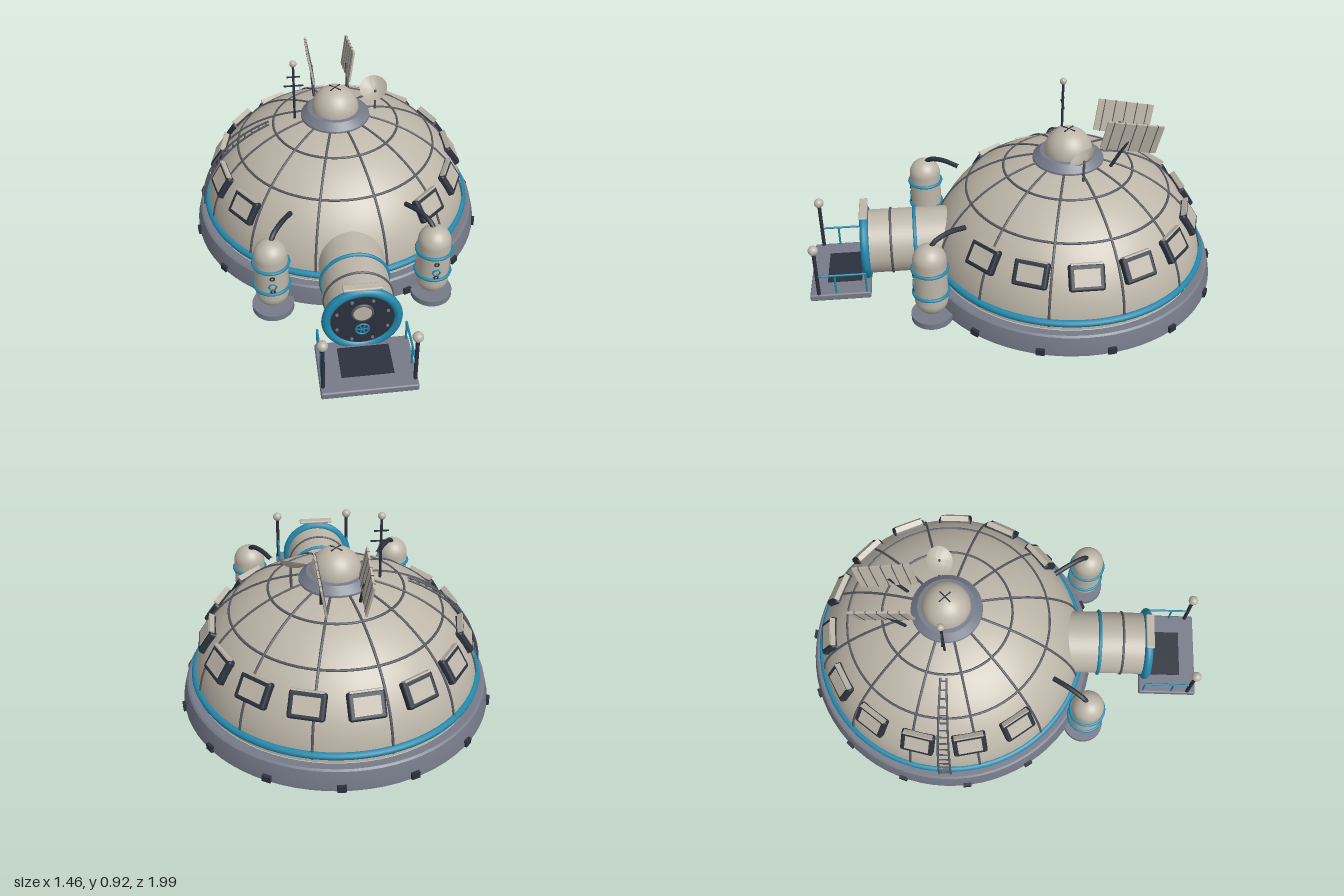
import * as THREE from 'three';
import { toCreasedNormals } from 'three/addons/utils/BufferGeometryUtils.js';
import { RoundedBoxGeometry } from 'three/addons/geometries/RoundedBoxGeometry.js';

const mat = (name, color, side = THREE.FrontSide) =>
  Object.assign(new THREE.MeshStandardMaterial({ color, side }), { name });
const cream = mat('cream shell', 0xbdb6a9, THREE.DoubleSide);
const grey = mat('slate grey', 0x767b89, THREE.DoubleSide);
const dark = mat('dark navy', 0x2b313d);
const rib = mat('rib grey', 0x55575f);
const teal = mat('teal trim', 0x2289ac);

const V = (x, y, z) => new THREE.Vector3(x, y, z);

function add(parent, name, geo, material, x = 0, y = 0, z = 0) {
  const m = new THREE.Mesh(geo, material);
  m.name = name;
  m.position.set(x, y, z);
  parent.add(m);
  return m;
}
function group(parent, name, x = 0, y = 0, z = 0) {
  const g = new THREE.Group();
  g.name = name;
  g.position.set(x, y, z);
  parent.add(g);
  return g;
}
const box = (w, h, d) => new THREE.BoxGeometry(w, h, d);
const cyl = (r, h, n = 32) => new THREE.CylinderGeometry(r, r, h, n);
const ball = (r) => new THREE.SphereGeometry(r, 20, 14);
const torus = (R, r, n = 64) => new THREE.TorusGeometry(R, r, 10, n);
const flatTorus = (R, r, n) => torus(R, r, n).rotateX(Math.PI / 2);
const lathe = (pts, n = 64) => toCreasedNormals(
  new THREE.LatheGeometry(pts.map(([x, y]) => new THREE.Vector2(x, y)), n).toNonIndexed(), 0.5);
const tube = (pts, r, n = 20) =>
  new THREE.TubeGeometry(new THREE.CatmullRomCurve3(pts), n, r, 8);
function rod(parent, name, a, b, r, material) {
  const m = add(parent, name, cyl(r, a.distanceTo(b), 10), material);
  m.position.addVectors(a, b).multiplyScalar(0.5);
  m.quaternion.setFromUnitVectors(V(0, 1, 0), b.clone().sub(a).normalize());
  return m;
}

// Dome ellipsoid: radius A, height B, springing from BASE
const A = 0.66, B = 0.52, BASE = 0.1;
const radiusAt = (y) => A * Math.sqrt(1 - ((y - BASE) / B) ** 2);
const onDome = (theta, phi, off = 0) => V(
  (A + off) * Math.cos(phi) * Math.cos(theta),
  BASE + (B + off) * Math.sin(phi),
  (A + off) * Math.cos(phi) * Math.sin(theta));
const arc = (theta, p0, p1, off, n = 14) =>
  Array.from({ length: n + 1 }, (_, i) => onDome(theta, p0 + (p1 - p0) * i / n, off));

function buildDome(root) {
  const g = group(root, 'dome', 0, 0, -0.26);
  const profile = Array.from({ length: 25 }, (_, i) => {
    const p = (i / 24) * Math.PI / 2;
    return [A * Math.cos(p), BASE + B * Math.sin(p)];
  });
  add(g, 'domeShell', lathe(profile, 72), cream);
  add(g, 'foundationRing', lathe([[0.66, 0.097], [0.66, 0], [0.722, 0], [0.722, 0.015],
    [0.704, 0.09], [0.695, 0.097], [0.66, 0.097]], 72), grey);
  add(g, 'trimRing', flatTorus(0.661, 0.017, 80), teal, 0, 0.138);

  // Seams
  for (let i = 0; i < 12; i++)
    add(g, 'meridianRib', tube(arc((i + 0.5) * Math.PI / 6, 0.03, 1.35, 0.001), 0.006), rib);
  for (const y of [0.45, 0.56]) add(g, 'latitudeRib', flatTorus(radiusAt(y), 0.006, 72), rib, 0, y);

  // Ground clamps
  for (let i = 0; i < 14; i++) {
    const t = 0.3 + i * Math.PI / 7;
    const c = add(g, 'groundClamp', box(0.03, 0.03, 0.04), dark,
      0.718 * Math.cos(t), 0.017, 0.718 * Math.sin(t));
    c.rotation.y = -t;
  }

  // Windows, leaving a gap for the airlock
  const y = 0.337, r = radiusAt(y);
  const tilt = Math.atan2((y - BASE) / B ** 2, r / A ** 2);
  for (let i = 0; i < 15; i++) {
    if (i >= 3 && i <= 5) continue;
    const t = i * Math.PI * 2 / 15;
    const w = group(g, 'window', r * Math.cos(t), y, r * Math.sin(t));
    w.rotation.set(-tilt, Math.PI / 2 - t, 0, 'YXZ');
    add(w, 'windowFrame', new RoundedBoxGeometry(0.162, 0.12, 0.044, 2, 0.012), dark);
    add(w, 'windowPane', box(0.116, 0.078, 0.008), cream, 0, 0, 0.021);
    add(w, 'windowHood', box(0.14, 0.008, 0.026), cream, 0, 0.062, 0.018);
  }

  // Ladder up the right side
  const lad = group(g, 'ladder');
  for (const s of [-1, 1])
    add(lad, 'ladderRail', tube(arc(Math.PI + s * 0.042, 0.04, 1.07, 0.024), 0.005), rib);
  for (let i = 0; i < 16; i++) {
    const p = 0.07 + i * 0.065;
    rod(lad, 'ladderRung', onDome(Math.PI - 0.042, p, 0.024),
      onDome(Math.PI + 0.042, p, 0.024), 0.004, rib);
  }

  // Crown
  add(g, 'crownCollar', lathe([[0.172, 0.585], [0.168, 0.612], [0.135, 0.643], [0.1, 0.645]], 48), grey);
  add(g, 'crownCap', new THREE.SphereGeometry(0.115, 40, 16, 0, Math.PI * 2, 0, Math.PI / 2), cream, 0, 0.643);
  for (const s of [-1, 1])
    add(g, 'crownCross', box(0.07, 0.004, 0.005), dark, 0, 0.757).rotation.y = s * Math.PI / 4;
}

function buildRoofGear(root) {
  // Antenna mast
  const m = group(root, 'antennaMast', -0.2, 0, -0.26);
  add(m, 'mastPole', cyl(0.006, 0.32, 10), dark, 0, 0.74);
  add(m, 'mastTip', ball(0.017), cream, 0, 0.905);
  add(m, 'mastBar', box(0.065, 0.006, 0.006), dark, 0, 0.832);
  add(m, 'mastBar', box(0.095, 0.006, 0.006), dark, 0, 0.782);

  // Dish
  const d = group(root, 'dish');
  rod(d, 'dishPole', V(0.205, 0.57, -0.3), V(0.205, 0.7, -0.3), 0.006, rib);
  const bowl = add(d, 'dishBowl', lathe([[0, -0.02], [0.025, -0.016], [0.05, -0.006], [0.068, 0.006]], 32),
    cream, 0.196, 0.712, -0.3);
  bowl.quaternion.setFromUnitVectors(V(0, 1, 0), V(-0.2, 0.83, 0.5).normalize());

  // Pair of solar panels
  for (const s of [-1, 1]) {
    const p = group(root, 'solarPanel', s * 0.098, 0.748, -0.54);
    p.rotation.set(-0.17, 0, -s * 0.17, 'ZXY');
    add(p, 'panelSheet', box(0.009, 0.155, 0.27), cream);
    for (let i = -2; i <= 2; i++) add(p, 'panelDivider', box(0.013, 0.157, 0.004), rib, 0, 0, i * 0.052);
    rod(root, 'panelStrut', V(s * 0.085, 0.575, -0.44), V(s * 0.092, 0.73, -0.525), 0.008, dark);
  }
}

function buildAirlock(root) {
  const g = group(root, 'airlock', 0, 0.185, 0);
  add(g, 'tunnel', cyl(0.155, 0.42, 48).rotateX(Math.PI / 2), cream, 0, 0, 0.51);
  add(g, 'tunnelTrim', torus(0.157, 0.009), teal, 0, 0, 0.485);
  add(g, 'tunnelSeam', torus(0.156, 0.006), rib, 0, 0, 0.6);
  add(g, 'doorRing', torus(0.16, 0.021), teal, 0, 0, 0.725);
  add(g, 'door', cyl(0.15, 0.02, 48).rotateX(Math.PI / 2), dark, 0, 0, 0.724);
  add(g, 'doorHood', new RoundedBoxGeometry(0.175, 0.014, 0.04, 2, 0.006), cream, 0, 0.19, 0.725);
  add(g, 'portholeRim', torus(0.044, 0.007, 32), rib, 0, 0.045, 0.735);
  add(g, 'portholeGlass', cyl(0.043, 0.008).rotateX(Math.PI / 2), cream, 0, 0.045, 0.737);
  for (let i = 0; i < 8; i++) {
    const t = (i + 0.5) * Math.PI / 4;
    add(g, 'doorBolt', cyl(0.007, 0.01, 8).rotateX(Math.PI / 2), grey,
      0.122 * Math.cos(t), 0.122 * Math.sin(t), 0.736);
  }
  const wheel = group(g, 'handwheel', 0, -0.05, 0.742);
  add(wheel, 'wheelRim', torus(0.03, 0.004, 24), teal);
  for (let i = 0; i < 3; i++)
    add(wheel, 'wheelSpoke', box(0.06, 0.005, 0.005), teal).rotation.z = i * Math.PI / 3;

  // Entry platform
  const p = group(root, 'entryPlatform');
  add(p, 'platformDeck', new RoundedBoxGeometry(0.425, 0.035, 0.29, 2, 0.008), grey, 0, 0.0175, 0.855);
  add(p, 'platformMat', box(0.232, 0.006, 0.165), dark, 0, 0.036, 0.838);
  for (const s of [-1, 1]) {
    const x = s * 0.2;
    add(p, 'lampPost', cyl(0.009, 0.25, 12), dark, x, 0.155, 0.958);
    add(p, 'lampGlobe', ball(0.024), cream, x, 0.292, 0.958);
    rod(p, 'handrail', V(x, 0.138, 0.725), V(x, 0.138, 0.958), 0.005, teal);
    for (const z of [0.73, 0.875]) add(p, 'railPost', cyl(0.005, 0.11, 8), teal, x, 0.085, z);
  }
}

function buildTank(root, s) {
  const g = group(root, 'storageTank', s * 0.377, 0, 0.422);
  add(g, 'tankFoot', cyl(0.098, 0.03, 40), grey, 0, 0.015);
  add(g, 'tankBody', new THREE.CapsuleGeometry(0.078, 0.216, 12, 36), cream, 0, 0.222);
  for (const y of [0.155, 0.285]) add(g, 'tankBand', flatTorus(0.081, 0.008, 40), teal, 0, y);
  add(g, 'tankGauge', torus(0.018, 0.004, 6), teal, 0, 0.2, 0.079);
  for (const y of [0.17, 0.25]) add(g, 'tankPort', torus(0.009, 0.004, 16), dark, 0, y, 0.078);
  add(g, 'tankPipe', tube([V(0, 0.385, 0), V(-s * 0.018, 0.418, -0.03), V(-s * 0.06, 0.432, -0.095),
    V(-s * 0.108, 0.42, -0.17)], 0.012), dark);
}

export function createModel() {
  const root = new THREE.Group();
  root.name = 'domeHabitat';
  buildDome(root);
  buildRoofGear(root);
  buildAirlock(root);
  for (const s of [-1, 1]) buildTank(root, s);
  return root;
}
